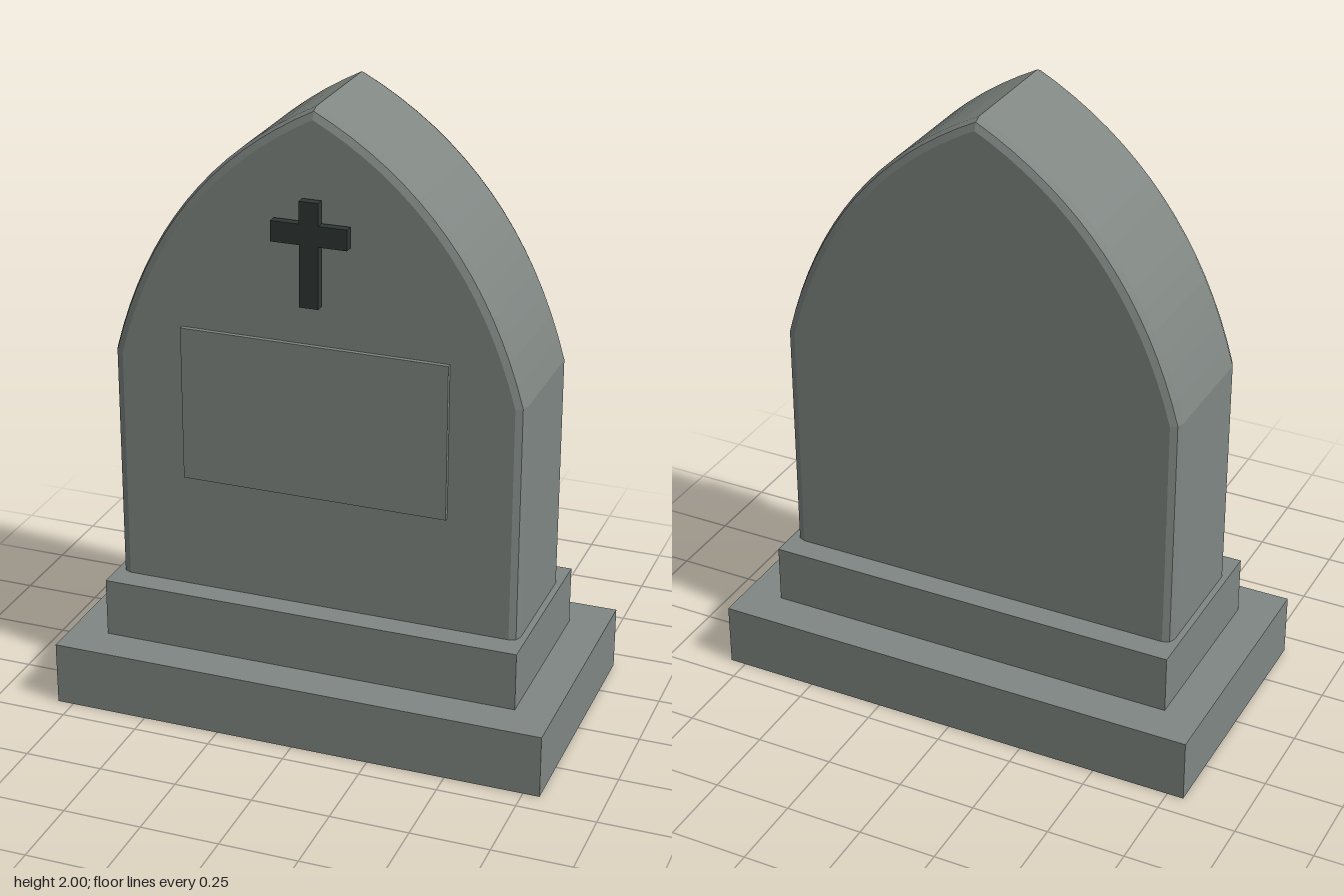
import * as THREE from 'three';

export function createModel() {
  const model = new THREE.Group();
  const stone = new THREE.MeshStandardMaterial({ color: 0x808783 });
  stone.name = 'grey stone';
  const iron = new THREE.MeshStandardMaterial({ color: 0x2e3735 });
  iron.name = 'dark iron';

  const add = (name, geometry, material, x, y, z) => {
    const mesh = new THREE.Mesh(geometry, material);
    mesh.name = name;
    mesh.position.set(x, y, z);
    model.add(mesh);
  };
  const box = (w, h, d) => new THREE.BoxGeometry(w, h, d);

  // Stepped base
  add('basePlinth', box(1.605, 0.205, 0.855), stone, 0, 0.1025, 0);
  add('upperStep', box(1.36, 0.195, 0.6), stone, 0, 0.2975, 0);

  // Pointed-arch slab with rounded edges, its foot sunk into the step
  const half = 0.66, spring = 1.16, foot = 0.3, depth = 0.44, bevel = 0.03;
  const arch = new THREE.Shape();
  arch.moveTo(-half, foot);
  arch.lineTo(half, foot);
  arch.lineTo(half, spring);
  arch.quadraticCurveTo(0.5, 1.75, 0, 2);
  arch.quadraticCurveTo(-0.5, 1.75, -half, spring);
  arch.closePath();
  const slab = new THREE.ExtrudeGeometry(arch, {
    depth: depth - 2 * bevel,
    curveSegments: 16,
    bevelSize: bevel,
    bevelThickness: bevel,
    bevelOffset: -bevel,
    bevelSegments: 2,
  });
  add('archedSlab', slab, stone, 0, 0, -depth / 2 + bevel);

  // Raised inscription panel
  add('panel', box(0.855, 0.5, 0.04), stone, 0, 1.02, 0.215);

  // Cross, standing just proud of the slab
  const cross = new THREE.Shape([
    [-0.03, 1.4], [0.03, 1.4], [0.03, 1.595], [0.12, 1.595], [0.12, 1.66], [0.03, 1.66],
    [0.03, 1.73], [-0.03, 1.73], [-0.03, 1.66], [-0.12, 1.66], [-0.12, 1.595], [-0.03, 1.595],
  ].map(([x, y]) => new THREE.Vector2(x, y)));
  add('cross', new THREE.ExtrudeGeometry(cross, { depth: 0.028, bevelEnabled: false }), iron, 0, 0, 0.23);

  return model;
}
